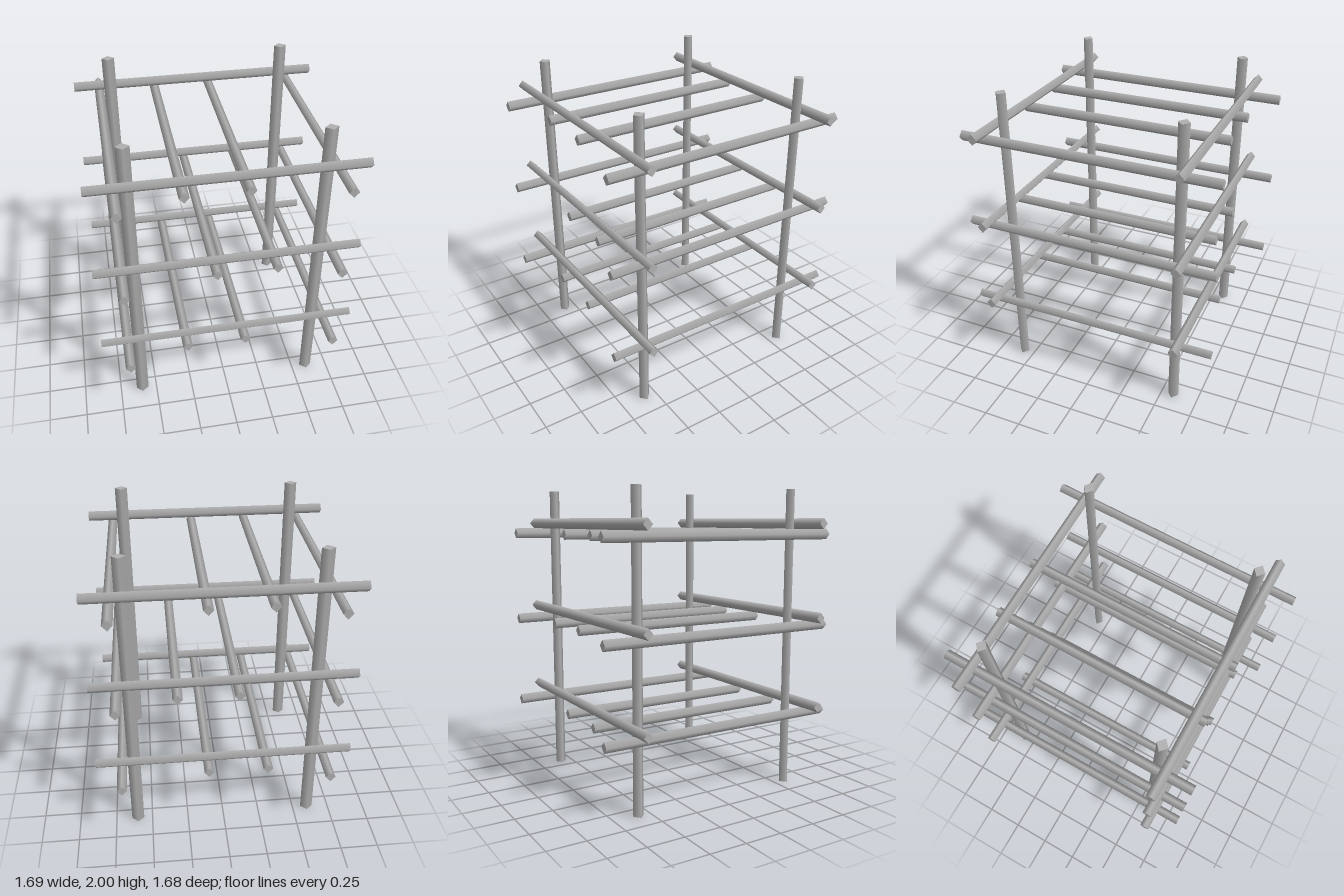
import * as THREE from 'three';

export function createModel() {
  const group = new THREE.Group();
  group.name = 'poleFrame';
  const steel = new THREE.MeshStandardMaterial({ color: 0xb0b0b0 });
  steel.name = 'grey steel';

  // Four-sided smooth pole with a diamond section, scaled per axis
  function pole(name, length, w, d) {
    const mesh = new THREE.Mesh(new THREE.CylinderGeometry(1, 1, length, 4).scale(w, 1, d), steel);
    mesh.name = name;
    group.add(mesh);
    return mesh;
  }
  function crossRail(y, z) {
    const m = pole('crossRail', 1.69, 0.035, 0.032);
    m.geometry.rotateZ(Math.PI / 2);
    m.position.set(0, y, z);
  }
  function depthRail(name, x, y, length) {
    const m = pole(name, length, 0.032, 0.035);
    m.geometry.rotateX(Math.PI / 2);
    m.position.set(x, y, -0.005);
  }

  // Corner posts
  for (const x of [-0.598, 0.6])
    for (const z of [-0.581, 0.579])
      pole('post', 2, 0.042, 0.036).position.set(x, 1, z);

  // Three levels: front and back rails, side rails, and inner bars staggered on the middle level
  const levels = [
    { top: 0.57, low: 0.499, bars: [-0.282, 0.108] },
    { top: 1.168, low: 1.097, bars: [-0.085, 0.301] },
    { top: 1.776, low: 1.707, bars: [-0.282, 0.108] },
  ];
  for (const { top, low, bars } of levels) {
    for (const z of [-0.646, 0.65]) crossRail(top, z);
    for (const x of [-0.673, 0.679]) depthRail('sideRail', x, low, 1.685);
    for (const x of bars) depthRail('innerBar', x, low, 1.446);
  }
  return group;
}
